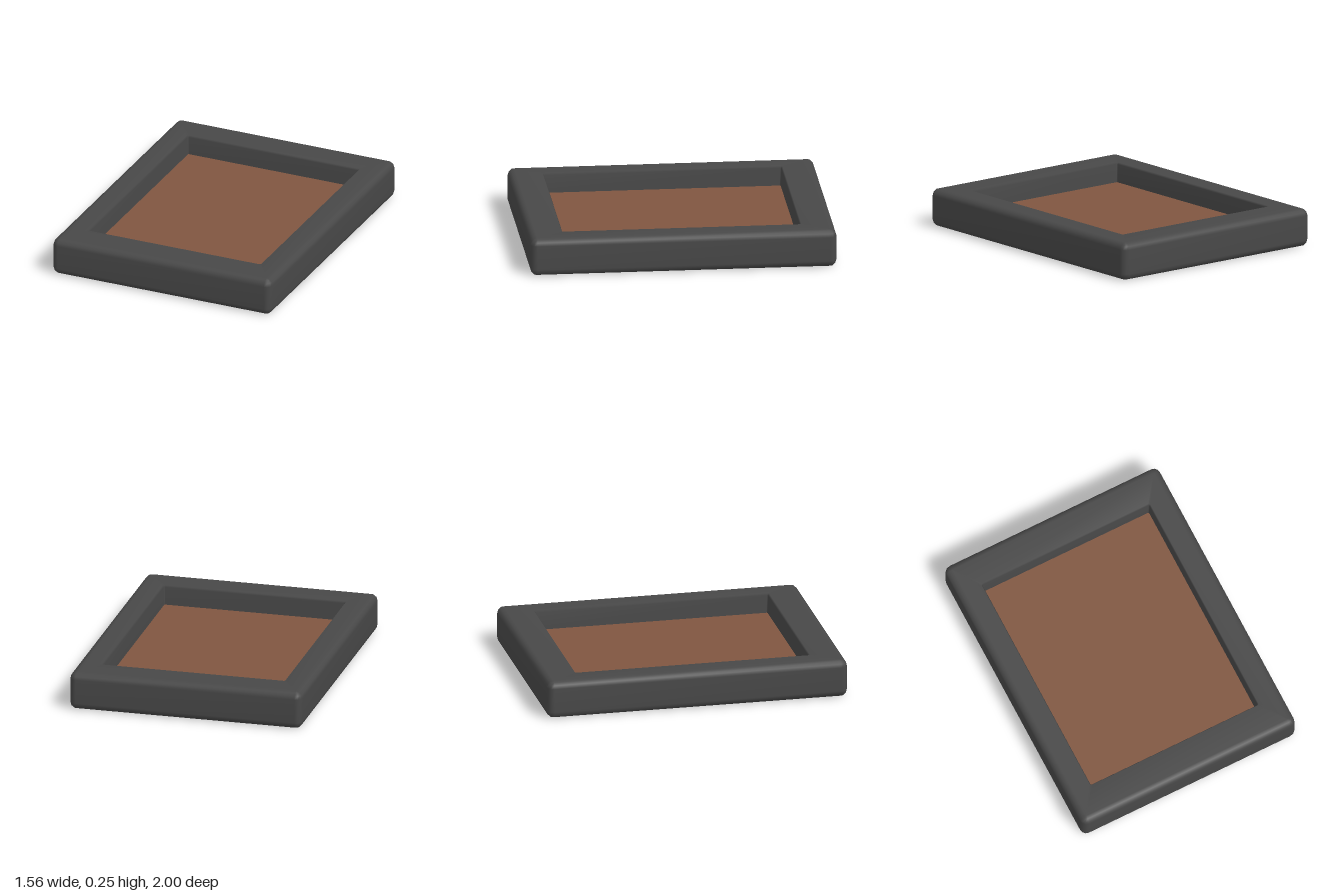
import * as THREE from 'three';

const W = 0.78, D = 1, H = 0.25, R = 0.045; // half width, half depth, height, edge radius
const SEG = 3; // segments per rounded corner

// Points of a rounded rectangle at height y
function ring(hx, hz, r, y) {
  const pts = [];
  [[1, 1], [-1, 1], [-1, -1], [1, -1]].forEach(([sx, sz], q) => {
    for (let i = 0; i <= SEG; i++) {
      const a = (q + i / SEG) * Math.PI / 2;
      pts.push([sx * (hx - r) + r * Math.cos(a), y, sz * (hz - r) + r * Math.sin(a)]);
    }
  });
  return pts;
}

// Skin consecutive rings with smooth normals
function skin(rings) {
  const n = rings[0].length, index = [];
  for (let k = 0; k < rings.length - 1; k++) {
    for (let i = 0; i < n; i++) {
      const a = k * n + i, b = k * n + (i + 1) % n;
      index.push(a, a + n, b, b, a + n, b + n);
    }
  }
  // bottom cap
  for (let i = 1; i < n - 1; i++) index.push(0, i, i + 1);
  const geo = new THREE.BufferGeometry();
  geo.setAttribute('position', new THREE.Float32BufferAttribute(rings.flat(2), 3));
  geo.setIndex(index);
  geo.computeVertexNormals();
  return geo;
}

export function createModel() {
  const group = new THREE.Group();
  const floorY = 0.12;
  const rings = [];

  // Outer shell: rounded lower edge, then rounded upper edge
  for (const top of [false, true]) {
    for (let i = 0; i <= SEG; i++) {
      const a = (top ? i : SEG - i) / SEG * Math.PI / 2;
      const inset = R * (1 - Math.cos(a)), lift = R * (1 - Math.sin(a));
      rings.push(ring(W - inset, D - inset, Math.max(R - inset, 0.004), top ? H - lift : lift));
    }
  }
  // Rim and recess walls
  rings.push(ring(0.616, 0.783, 0.012, H));
  rings.push(ring(0.609, 0.776, 0.008, H - 0.012));
  rings.push(ring(0.603, 0.77, 0.006, floorY - 0.005));

  const frame = new THREE.Mesh(skin(rings), new THREE.MeshStandardMaterial({ color: 0x484848 }));
  frame.name = 'frame';

  // Brown panel at the bottom of the recess
  const panel = new THREE.Mesh(
    new THREE.PlaneGeometry(1.212, 1.546).rotateX(-Math.PI / 2),
    new THREE.MeshStandardMaterial({ color: 0x805640 })
  );
  panel.position.y = floorY;
  panel.name = 'panel';

  group.add(frame, panel);
  return group;
}
